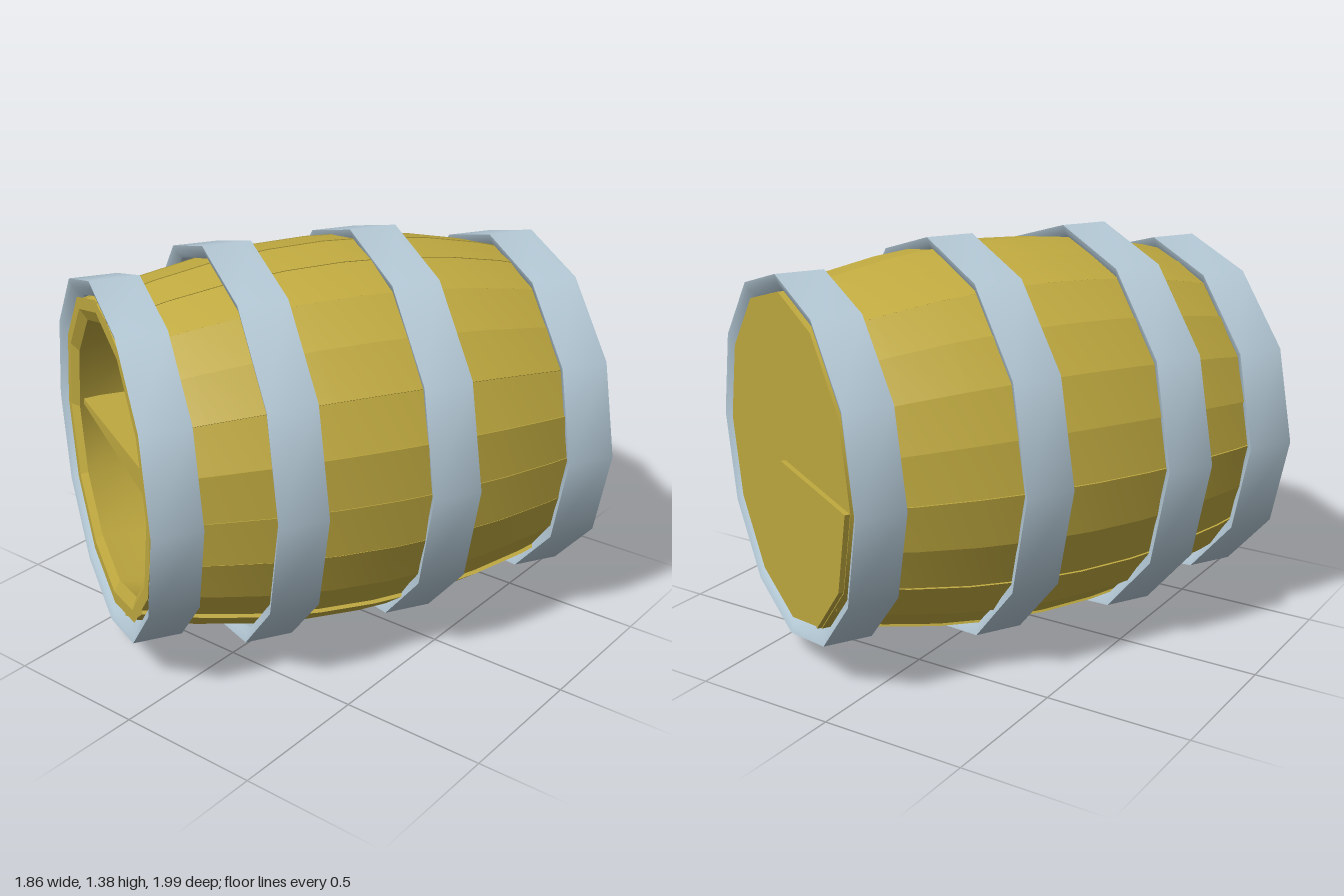
import * as THREE from 'three';
import { toCreasedNormals } from 'three/addons/utils/BufferGeometryUtils.js';

const wood = new THREE.MeshStandardMaterial({ color: 0xc0aa40, side: THREE.DoubleSide });
const darkWood = new THREE.MeshStandardMaterial({ color: 0x563c0c, side: THREE.DoubleSide });
const metal = new THREE.MeshStandardMaterial({ color: 0xb5cad7 });
wood.name = 'wood';
darkWood.name = 'dark wood';
metal.name = 'hoop metal';

const END = 0.775;
// bulging barrel radius at axial position z
const bulge = z => 0.663 - 0.12 * (z / END) ** 2;

function add(group, name, geometry, material) {
  const mesh = new THREE.Mesh(geometry, material);
  mesh.name = name;
  group.add(mesh);
  return mesh;
}

// profile of [radius, z] turned around the z axis
function turned(profile, sides, crease = 0.6) {
  const g = new THREE.LatheGeometry(profile.map(([r, z]) => new THREE.Vector2(r, z)), sides);
  g.rotateX(Math.PI / 2);
  return toCreasedNormals(g, crease);
}

// solid made of quads between cross-sections, each a loop of four corners
function loft(sections) {
  const pos = [], idx = [];
  sections.forEach(s => s.forEach(p => pos.push(...p)));
  const n = sections.length;
  for (let i = 0; i < n - 1; i++) {
    for (let j = 0; j < 4; j++) {
      const a = i * 4 + j, b = i * 4 + (j + 1) % 4;
      idx.push(a, b, b + 4, a, b + 4, a + 4);
    }
  }
  const e = (n - 1) * 4;
  idx.push(0, 2, 1, 0, 3, 2, e, e + 1, e + 2, e, e + 2, e + 3);
  const g = new THREE.BufferGeometry();
  g.setAttribute('position', new THREE.Float32BufferAttribute(pos, 3));
  g.setIndex(idx);
  return toCreasedNormals(g, 0.5);
}

// one curved stave, with slightly uneven edges
function stave(a0, a1, lift0, lift1) {
  const sections = [];
  const at = (r, a, z) => [r * Math.cos(a), r * Math.sin(a), z];
  for (let i = 0; i <= 8; i++) {
    const z = -END + (i / 8) * 2 * END, r = bulge(z);
    sections.push([at(r - 0.03, a0, z), at(r + lift0, a0, z), at(r + lift1, a1, z), at(r - 0.03, a1, z)]);
  }
  return loft(sections);
}

export function createModel() {
  const model = new THREE.Group();
  const barrel = new THREE.Group();
  barrel.name = 'barrel';
  barrel.position.y = 0.69;
  barrel.rotation.y = -Math.PI / 6;
  model.add(barrel);

  // staves
  const staves = new THREE.Group();
  staves.name = 'staves';
  barrel.add(staves);
  let seed = 7;
  const rand = () => (seed = (seed * 16807) % 2147483647) / 2147483647;
  const lift = () => 0.016 * rand() - 0.013;
  const step = Math.PI / 12;
  for (let i = 0; i < 24; i++) {
    add(staves, 'stave', stave(i * step, (i + 1) * step, lift(), lift()), wood);
  }

  // open front rim and inner walls
  add(barrel, 'front rim', turned([[0.552, END + 0.002], [0.51, END + 0.002], [0.47, 0.755]], 12, 0.2), wood);
  add(barrel, 'front inner wall', turned([[0.47, 0.755], [0.53, 0.5], [0.57, 0.12]], 12), wood);
  add(barrel, 'deep inner wall', turned([[0.57, 0.12], [0.56, -0.35], [0.5, -0.74], [0, -0.74]], 12, 2), darkWood);

  // back lid with a raised sector
  const lid = new THREE.CylinderGeometry(0.56, 0.56, 0.03, 12).rotateX(Math.PI / 2);
  add(barrel, 'back lid', toCreasedNormals(lid, 0.6), wood).position.z = -0.77;
  const sector = new THREE.Shape();
  sector.moveTo(0, 0);
  for (let i = 0; i <= 2; i++) {
    const a = Math.PI + i * Math.PI / 6;
    sector.lineTo(0.557 * Math.cos(a), 0.557 * Math.sin(a));
  }
  const raised = new THREE.ExtrudeGeometry(sector, { depth: 0.03, bevelEnabled: false });
  add(barrel, 'raised lid sector', raised, wood).position.z = -0.802;

  // crossbar inside the opening: wooden wedge over a dark, receding underside
  const bar = (x, top, bottom, front, low) => [[x, top, front], [x, top, 0.38], [x, bottom, 0.38], [x, bottom, low]];
  add(barrel, 'crossbar', loft([bar(-0.48, 0.028, 0.008, 0.74, 0.74), bar(0.48, 0.108, 0.015, 0.74, 0.74)]), wood);
  add(barrel, 'crossbar underside', loft([bar(-0.5, 0.008, -0.055, 0.735, 0.7), bar(0.5, 0.015, -0.055, 0.68, 0.5)]), darkWood);

  // hoops with rims rounding inward
  for (const [z, r, inner] of [[0.71, 0.617, 0.555], [0.334, 0.69, 0.645], [-0.182, 0.69, 0.65], [-0.71, 0.617, 0.56]]) {
    const h = 0.083, lip = h - 0.008, throat = lip - (r - 0.028 - inner);
    add(barrel, 'hoop', turned([
      [inner, z - throat], [r - 0.028, z - lip], [r, z - h], [r, z + h],
      [r - 0.028, z + lip], [inner, z + throat], [inner, z - throat],
    ], 12), metal);
  }
  return model;
}
